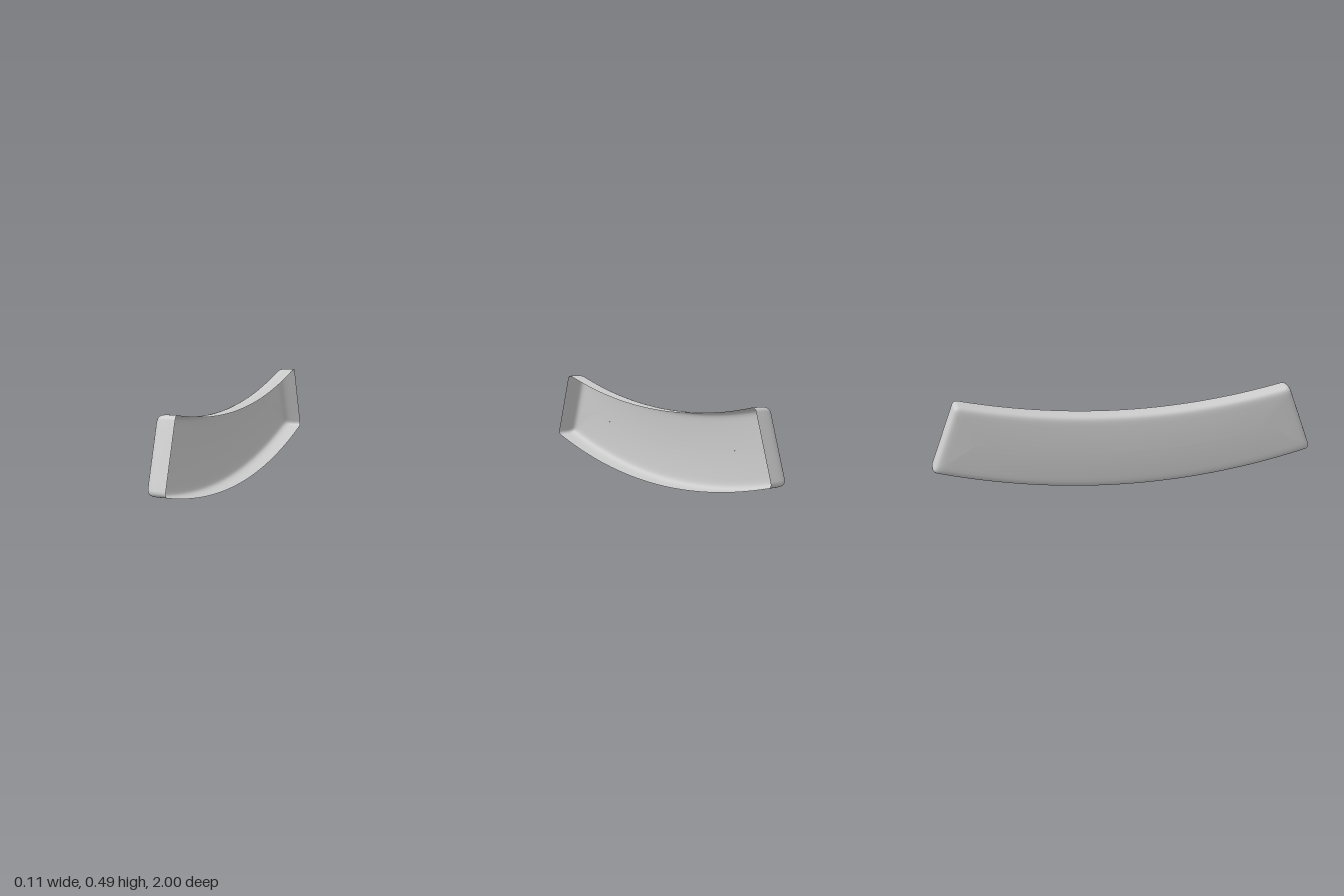
import * as THREE from 'three';

const BEND = 0.135; // rise of the long edges towards both ends
const HEIGHT = 0.388;
const V = (z, y) => new THREE.Vector2(z, y);
const lerp = THREE.MathUtils.lerp;

// Closed outline in (z, y), inset by d, with rounded corners
function outline(d) {
  const bottom = z => BEND * z * z + d;
  const top = z => BEND * z * z + HEIGHT - d;
  const corner = edge => {
    let z = 0.9;
    for (let i = 0; i < 20; i++) z = 1.055 - 1.06 * d - 0.365 * edge(z);
    return V(z, edge(z));
  };
  const low = corner(bottom), high = corner(top);
  const r = 0.026;
  const dir = high.clone().sub(low).normalize();
  const lowOut = low.clone().addScaledVector(dir, r);
  const highIn = high.clone().addScaledVector(dir, -r);
  const half = [];
  const edgeSteps = 24, cornerSteps = 6, sideSteps = 8;
  const zb = low.x - r, zt = high.x - r;
  for (let i = 0; i < edgeSteps; i++) {
    const z = zb * i / edgeSteps;
    half.push(V(z, bottom(z)));
  }
  const bend = (a, c, b) => half.push(...new THREE.QuadraticBezierCurve(a, c, b).getPoints(cornerSteps));
  bend(V(zb, bottom(zb)), low, lowOut);
  for (let i = 1; i < sideSteps; i++) half.push(lowOut.clone().lerp(highIn, i / sideSteps));
  bend(highIn, high, V(zt, top(zt)));
  for (let i = edgeSteps - 1; i >= 0; i--) {
    const z = zt * i / edgeSteps;
    half.push(V(z, top(z)));
  }
  // mirror to the other end, without the two centre points
  const other = half.slice(1, -1).reverse().map(p => V(-p.x, p.y));
  return half.concat(other);
}

function shellGeometry() {
  // Wall and rounded edge: [x, inset]
  const wall = [
    [0.055, 0], [0.02, 0], [0, 0.0005], [-0.015, 0.002], [-0.026, 0.005],
    [-0.034, 0.009], [-0.04, 0.015], [-0.044, 0.023], [-0.047, 0.036],
  ];
  const rings = wall.map(([x, d]) => outline(d).map(p => [x, p.y, p.x]));

  // Slightly crowned face, closing on a curved centre line
  const rim = rings[rings.length - 1];
  const steps = 8;
  for (let s = 1; s <= steps; s++) {
    const t = s / steps;
    rings.push(rim.map(([x, y, z]) => {
      const zs = z * 0.82;
      const ys = BEND * zs * zs + HEIGHT / 2;
      const zz = lerp(z, zs, t);
      const crown = (1 - (1 - t) ** 2) * (0.003 + 0.005 * (1 - zz * zz));
      return [x - crown, lerp(y, ys, t), zz];
    }));
  }

  const n = rim.length, index = [];
  for (let i = 0; i < rings.length - 1; i++) {
    for (let j = 0; j < n; j++) {
      const k = (j + 1) % n;
      const a = i * n + j, b = i * n + k, c = b + n, d = a + n;
      index.push(a, b, c, a, c, d);
    }
  }
  const geometry = new THREE.BufferGeometry();
  geometry.setAttribute('position', new THREE.Float32BufferAttribute(rings.flat(2), 3));
  geometry.setIndex(index);
  geometry.computeVertexNormals();
  return geometry;
}

export function createModel() {
  const group = new THREE.Group();
  group.name = 'curvedCover';
  // Thin shell, open towards +x
  const shell = new THREE.Mesh(
    shellGeometry(),
    new THREE.MeshStandardMaterial({ color: 0xcccccc, side: THREE.DoubleSide }),
  );
  shell.name = 'coverShell';
  group.add(shell);
  return group;
}
